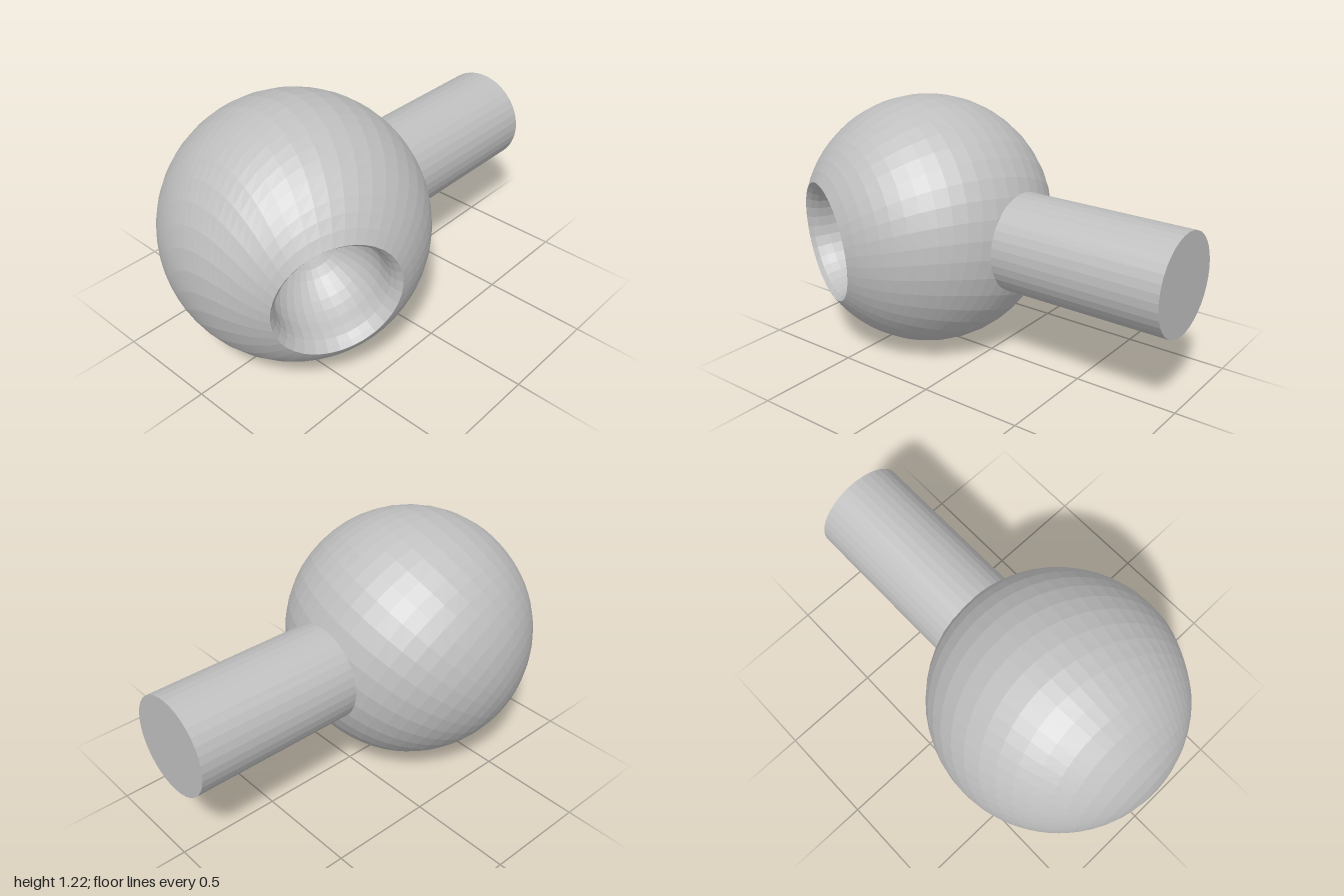
import * as THREE from 'three';

const R = 0.61;
const CENTER = new THREE.Vector3(-0.39, R, 0);
const bigAxis = new THREE.Vector3(-0.43, -0.07, 0.9).normalize();
const smallAxis = new THREE.Vector3(-0.513, -0.611, -0.601).normalize();
const BIG_RIM = 0.29, SMALL_RIM = 0.178;
const rimHeight = (r) => Math.sqrt(R * R - r * r);

// Sphere shell swept as circles from one round opening to the other
function shellGeometry(rings = 30, sides = 40) {
  const u = new THREE.Vector3().crossVectors(bigAxis, smallAxis).normalize();
  const pos = [], index = [];
  for (let i = 0; i <= rings; i++) {
    const t = i / rings;
    const m = bigAxis.clone().multiplyScalar(1 - t).addScaledVector(smallAxis, -t);
    const d = ((1 - t) * rimHeight(BIG_RIM) - t * rimHeight(SMALL_RIM)) / m.length();
    m.normalize();
    const v = new THREE.Vector3().crossVectors(m, u);
    const r = Math.sqrt(R * R - d * d);
    for (let j = 0; j <= sides; j++) {
      const a = (j / sides) * Math.PI * 2;
      const p = m.clone().multiplyScalar(d)
        .addScaledVector(u, r * Math.cos(a)).addScaledVector(v, r * Math.sin(a));
      pos.push(p.x, p.y, p.z);
      if (i < rings && j < sides) {
        const k = i * (sides + 1) + j, n = k + sides + 1;
        index.push(k, n, k + 1, k + 1, n, n + 1);
      }
    }
  }
  const g = new THREE.BufferGeometry();
  g.setAttribute('position', new THREE.Float32BufferAttribute(pos, 3));
  g.setIndex(index);
  g.computeVertexNormals();
  return g;
}

// Rounded recess: lip points, then a quarter ellipse down to the floor
function recessGeometry(lip, depth, steps = 9) {
  const pts = lip.map(([r, h]) => new THREE.Vector2(r, h));
  const [r0, h0] = lip[lip.length - 1];
  for (let i = 1; i <= steps; i++) {
    const a = (i / steps) * Math.PI / 2;
    pts.push(new THREE.Vector2(i === steps ? 0 : r0 * Math.cos(a), h0 - depth * Math.sin(a)));
  }
  return new THREE.LatheGeometry(pts, 32);
}

export function createModel() {
  const model = new THREE.Group();
  model.name = 'ballOnRod';
  const grey = new THREE.MeshStandardMaterial({
    color: 0xbfbfbf, flatShading: true, side: THREE.DoubleSide });
  grey.name = 'grey';

  const add = (name, geometry, position, axis) => {
    const mesh = new THREE.Mesh(geometry, grey);
    mesh.name = name;
    mesh.position.copy(position);
    if (axis) mesh.quaternion.setFromUnitVectors(new THREE.Vector3(0, 1, 0), axis);
    model.add(mesh);
  };

  // Ball with its two recesses
  add('ball', shellGeometry(), CENTER);
  const h1 = rimHeight(BIG_RIM), h2 = rimHeight(SMALL_RIM);
  add('largeRecess', recessGeometry(
    [[BIG_RIM, h1], [0.27, h1 - 0.02], [0.255, h1 - 0.05], [0.248, h1 - 0.09]], 0.3), CENTER, bigAxis);
  add('smallRecess', recessGeometry([[SMALL_RIM, h2], [0.175, h2 - 0.03]], 0.2), CENTER, smallAxis);

  // Straight rod leaving the side of the ball
  add('rod', new THREE.CylinderGeometry(0.235, 0.235, 0.87, 36),
    new THREE.Vector3(0.565, R, 0), new THREE.Vector3(1, 0, 0));
  return model;
}
